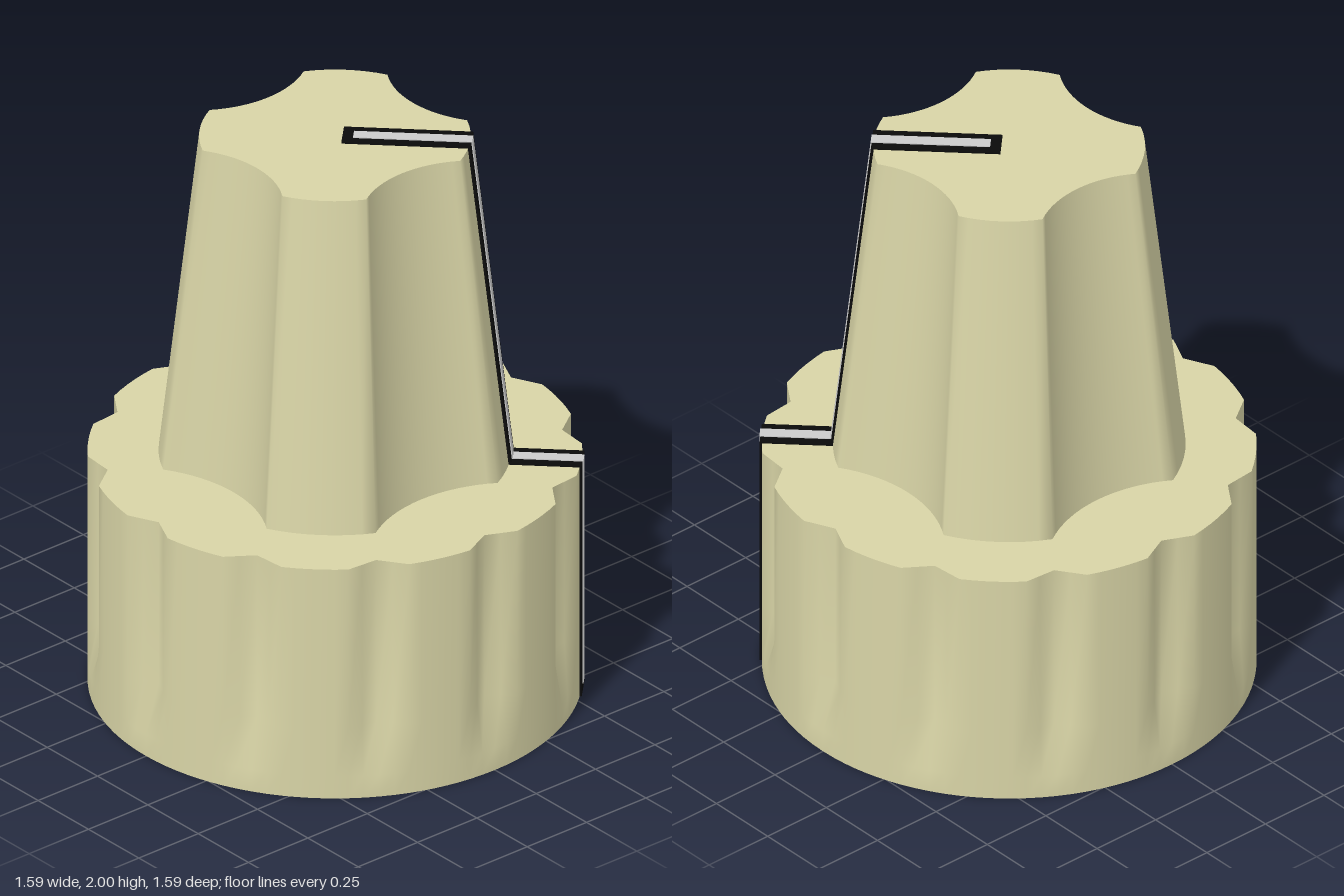
import * as THREE from 'three';
import { toCreasedNormals } from 'three/addons/utils/BufferGeometryUtils.js';

const BASE_R = 0.795, BASE_H = 0.84, TOP = 1.995;
const GRIP_R = 0.567, TAPER = 0.77;
const DEG = Math.PI / 180;

// Skin closed rings (bottom to top, counter-clockwise from above) and cap both ends
function loft(rings) {
  const n = rings[0].length, pos = [], idx = [];
  rings.forEach(ring => ring.forEach(p => pos.push(p.x, p.y, p.z)));
  for (let k = 0; k < rings.length - 1; k++) {
    for (let i = 0; i < n; i++) {
      const a = k * n + i, b = k * n + (i + 1) % n;
      idx.push(a, b, b + n, a, b + n, a + n);
    }
  }
  const last = (rings.length - 1) * n, c = rings.length * n;
  pos.push(0, rings[0][0].y, 0, 0, rings[rings.length - 1][0].y, 0);
  for (let i = 0; i < n; i++) {
    const j = (i + 1) % n;
    idx.push(c, j, i, c + 1, last + i, last + j);
  }
  const g = new THREE.BufferGeometry();
  g.setAttribute('position', new THREE.Float32BufferAttribute(pos, 3));
  g.setIndex(idx);
  return toCreasedNormals(g, 65 * DEG);
}

const polar = (a, r, y) => new THREE.Vector3(r * Math.sin(a), y, r * Math.cos(a));

// Base ring: a circle with twelve V notches, cut by the given depth (0 to 1)
function baseRing(y, depth) {
  const half = 7.2 * DEG, ring = [];
  const edge = polar(half, BASE_R, 0), apex = polar(0, 0.742, 0);
  for (let k = 0; k < 12; k++) {
    const mid = k * 30 * DEG;
    for (let i = -2; i < 2; i++) {
      const t = Math.abs(i) / 2;
      const cut = apex.clone().lerp(edge, t).length();
      const a = Math.sign(i) * (t === 1 ? half : Math.atan2(edge.x * t, apex.z + (edge.z - apex.z) * t));
      ring.push(polar(mid + a, THREE.MathUtils.lerp(BASE_R, cut, depth), y));
    }
    for (let i = 0; i < 5; i++) {
      ring.push(polar(mid + half + (30 * DEG - 2 * half) * i / 5, BASE_R, y));
    }
  }
  return ring;
}

// Grip ring: four round lobes on the diagonals with shallow scoops between them
function gripRing(y, scale) {
  const ring = [], hx = 0.257, cz = 0.505, sag = 0.075;
  const R = (hx * hx + sag * sag) / (2 * sag), sweep = Math.asin(hx / R);
  const corner = Math.atan2(hx, cz);
  for (let q = 0; q < 4; q++) {
    const turn = q * Math.PI / 2;
    for (let i = 0; i < 16; i++) {
      const t = sweep * (i / 8 - 1);
      const x = R * Math.sin(t), z = cz - sag + R - R * Math.cos(t);
      ring.push(polar(turn + Math.atan2(x, z), Math.hypot(x, z) * scale, y));
    }
    for (let i = 0; i < 8; i++) {
      const a = corner + (Math.PI / 2 - 2 * corner) * i / 8;
      ring.push(polar(turn + a, GRIP_R * scale, y));
    }
  }
  return ring;
}

// Thin band following the knob's outline from the top centre down to the foot
function pointerBand(start, foot, width, proud, color) {
  const outline = e => [
    [start, TOP + e], [GRIP_R * TAPER + e, TOP + e], [GRIP_R + e, BASE_H + e],
    [BASE_R + e, BASE_H + e], [BASE_R + e, foot],
  ];
  const points = [...outline(proud), ...outline(-0.02).reverse()];
  const shape = new THREE.Shape(points.map(p => new THREE.Vector2(...p)));
  const g = new THREE.ExtrudeGeometry(shape, { depth: width, bevelEnabled: false });
  g.translate(0, 0, -width / 2);
  g.rotateY(Math.PI / 4);
  return new THREE.Mesh(g, new THREE.MeshStandardMaterial({ color }));
}

export function createModel() {
  const model = new THREE.Group();
  model.name = 'controlKnob';
  const add = (name, mesh) => { mesh.name = name; model.add(mesh); };
  const cream = new THREE.MeshStandardMaterial({ color: 0xd8d4a6 });

  // Wide notched skirt, the notches fading out above the foot
  add('notchedBase', new THREE.Mesh(loft([
    baseRing(0, 0), baseRing(0.08, 0), baseRing(0.25, 1), baseRing(BASE_H, 1),
  ]), cream));

  // Tapered finger grip
  add('grip', new THREE.Mesh(loft([gripRing(BASE_H, 1), gripRing(TOP, TAPER)]), cream));

  // Black pointer with a pale centre line
  add('pointerBand', pointerBand(0.025, 0, 0.105, 0.005, 0x0a0a0a));
  add('pointerLine', pointerBand(0.06, 0.03, 0.043, 0.008, 0xcccccc));

  return model;
}
